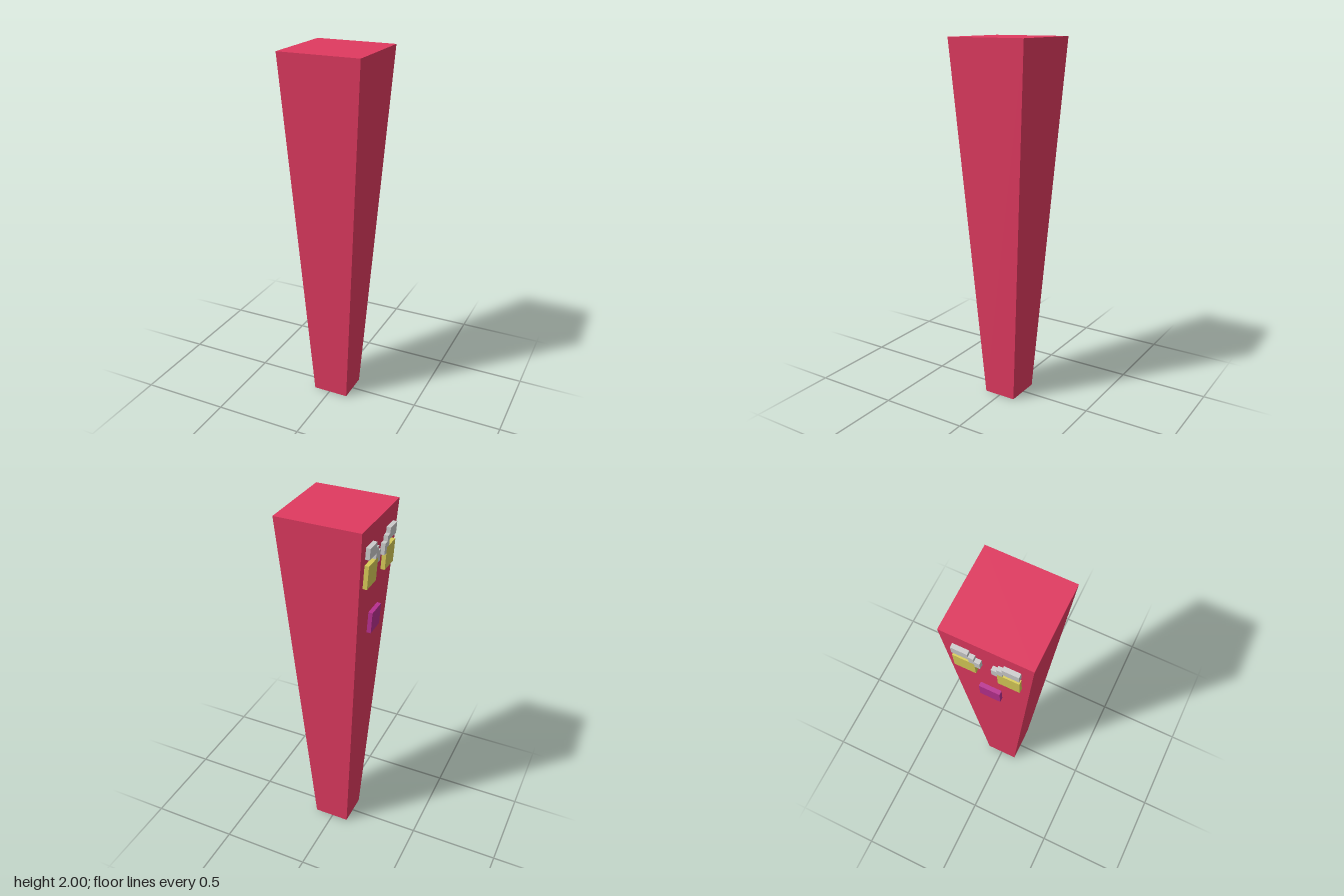
import * as THREE from 'three';

const TILT = Math.atan(0.061); // lean of the face side
const DEPTH = 0.03;            // raised parts, sunk slightly into the body

const paint = (color) => new THREE.MeshStandardMaterial({ color, flatShading: true });

// Box that narrows towards the ground
function taperedBody() {
  const geo = new THREE.BoxGeometry(2, 2, 2);
  const p = geo.attributes.position;
  for (let i = 0; i < p.count; i++) {
    const top = p.getY(i) > 0;
    p.setXYZ(i,
      0.007 + p.getX(i) * (top ? 0.2245 : 0.102),
      top ? 2 : 0,
      p.getZ(i) * (top ? 0.2245 : 0.093));
  }
  geo.computeVertexNormals();
  const mesh = new THREE.Mesh(geo, paint(0xe03a60));
  mesh.name = 'body';
  return mesh;
}

// Thin block lying on the sloped -x side, given its z and y ranges
function facePlate(name, material, z0, z1, y0, y1) {
  const y = (y0 + y1) / 2;
  const surface = -0.2175 + (2 - y) * 0.061;
  const mesh = new THREE.Mesh(new THREE.BoxGeometry(DEPTH, y1 - y0, Math.abs(z1 - z0)), material);
  mesh.position.set(surface - 0.0225 + DEPTH / 2, y, (z0 + z1) / 2);
  mesh.rotation.z = TILT;
  mesh.name = name;
  return mesh;
}

export function createModel() {
  const model = new THREE.Group();
  model.name = 'taperedPillarWithFace';
  model.add(taperedBody());

  const grey = paint(0xcccccc);
  const yellow = paint(0xd8cc58);
  const magenta = paint(0xb83090);

  // Eyes with brows stepping down towards the middle
  for (const [side, s] of [['left', -1], ['right', 1]]) {
    model.add(facePlate(side + 'Eye', yellow, s * 0.055, s * 0.164, 1.69, 1.814));
    const brow = new THREE.Group();
    brow.name = side + 'Brow';
    brow.add(
      facePlate('browOuter', grey, s * 0.082, s * 0.164, 1.845, 1.905),
      facePlate('browMiddle', grey, s * 0.055, s * 0.082, 1.814, 1.875),
      facePlate('browInner', grey, s * 0.0275, s * 0.055, 1.783, 1.845));
    model.add(brow);
  }

  model.add(facePlate('mouth', magenta, -0.055, 0.055, 1.38, 1.5));
  return model;
}
